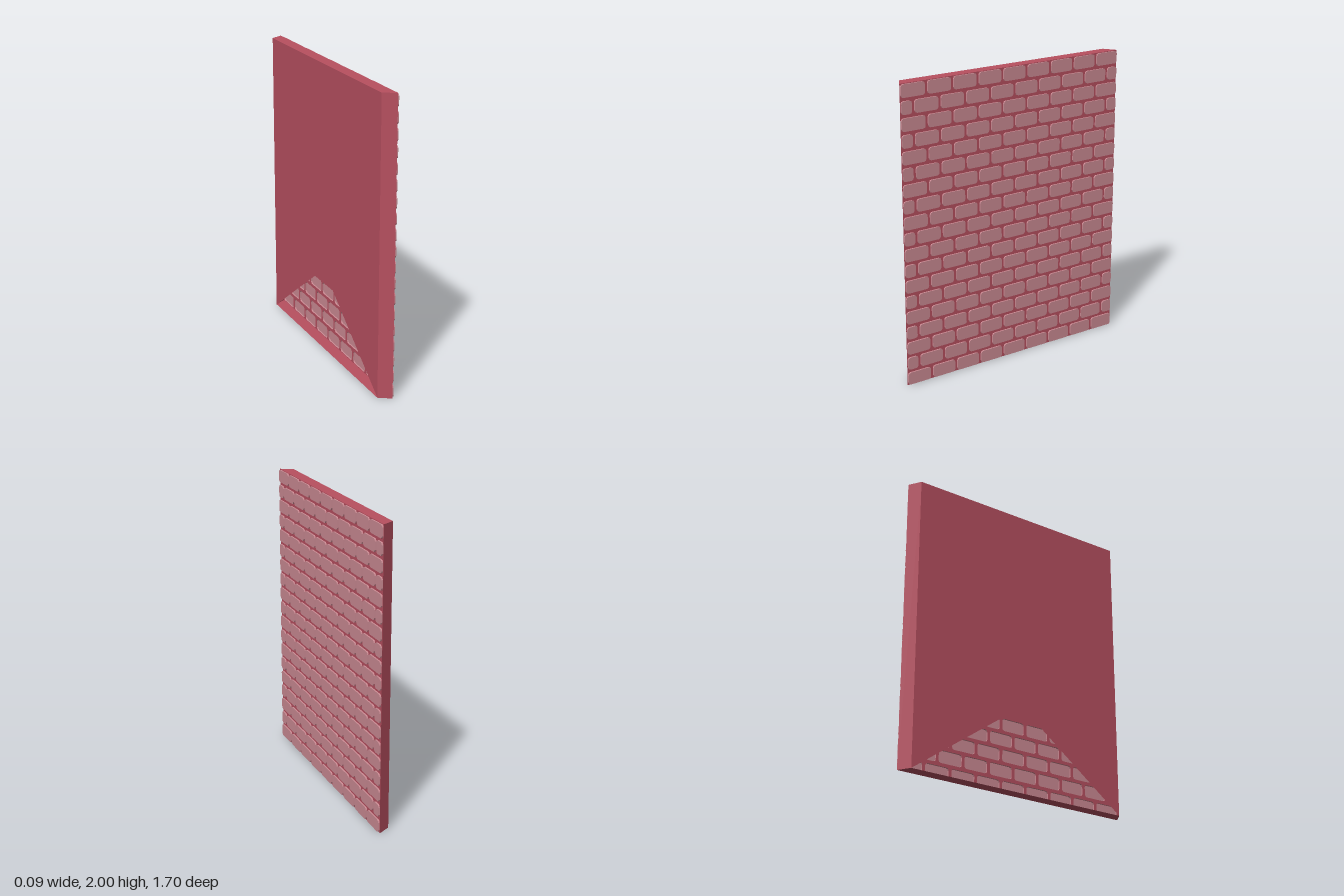
import * as THREE from 'three';
import { mergeGeometries } from 'three/addons/utils/BufferGeometryUtils.js';

const BACK = -0.046, MORTAR = 0.036, BRICK_DEPTH = 0.01;
const H = 2, HALF_BACK = 0.80, HALF_FRONT = 0.85;
const ROWS = 19, PITCH = 0.19, JOINT = 0.021, RIM = 0.004, BRICK_H = 0.084;

// Outline of one brick: a rectangle with softly cut corners
function brickPoints(u0, u1, v0, v1) {
  const r = 0.016, pts = [];
  const corners = [[u1 - r, v0 + r, -90], [u1 - r, v1 - r, 0], [u0 + r, v1 - r, 90], [u0 + r, v0 + r, 180]];
  for (const [u, v, start] of corners) {
    for (let i = 0; i <= 2; i++) {
      const a = THREE.MathUtils.degToRad(start + i * 45);
      pts.push(new THREE.Vector2(u + r * Math.cos(a), v + r * Math.sin(a)));
    }
  }
  return pts;
}

// Running bond: joints shift by half a brick on every other row
function layBricks() {
  const bricks = [], edge = HALF_FRONT - RIM;
  const rowStep = (H - 2 * RIM - BRICK_H) / (ROWS - 1);
  for (let row = 0; row < ROWS; row++) {
    const v = RIM + row * rowStep;
    const shift = row % 2 ? 0 : PITCH / 2;
    let start = -edge;
    for (let k = -4; k <= 4; k++) {
      const joint = k * PITCH + shift;
      if (joint > edge - 0.05) break;
      bricks.push(brickPoints(start, joint - JOINT / 2, v, v + BRICK_H));
      start = joint + JOINT / 2;
    }
    bricks.push(brickPoints(start, edge, v, v + BRICK_H));
  }
  return bricks;
}

// Brick as an open shell: sides and front face, no back cap
function brickShell(points) {
  const full = new THREE.ExtrudeGeometry(new THREE.Shape(points), { depth: BRICK_DEPTH, bevelEnabled: false });
  const skip = full.groups[0].count / 2;
  const geo = new THREE.BufferGeometry();
  for (const name of ['position', 'normal']) {
    geo.setAttribute(name, new THREE.BufferAttribute(full.attributes[name].array.slice(skip * 3), 3));
  }
  return geo;
}

// Flat four-cornered wall, corners counter-clockwise from outside
function quad(a, b, c, d) {
  const geo = new THREE.BufferGeometry();
  geo.setAttribute('position', new THREE.Float32BufferAttribute([a, b, c, a, c, d].flat(), 3));
  geo.computeVertexNormals();
  return geo;
}

export function createModel() {
  const group = new THREE.Group();
  group.name = 'brickWall';
  const mortar = new THREE.MeshStandardMaterial({ name: 'mortar red', color: 0xb85060, side: THREE.DoubleSide });
  const brick = new THREE.MeshStandardMaterial({ name: 'brick pink', color: 0xcc8b94, side: THREE.DoubleSide });
  const add = (name, geo, material) => {
    const mesh = new THREE.Mesh(geo, material);
    mesh.name = name;
    group.add(mesh);
  };
  const bricks = layBricks();

  // Mortar face, open behind each brick
  const face = new THREE.Shape([[-HALF_FRONT, 0], [HALF_FRONT, 0], [HALF_FRONT, H], [-HALF_FRONT, H]]
    .map(([u, v]) => new THREE.Vector2(u, v)));
  face.holes = bricks.map((pts) => new THREE.Path(pts.slice().reverse()));
  add('mortarFace', new THREE.ShapeGeometry(face).rotateY(Math.PI / 2).translate(MORTAR, 0, 0), mortar);

  // Raised bricks
  const shells = mergeGeometries(bricks.map(brickShell));
  add('bricks', shells.rotateY(Math.PI / 2).translate(MORTAR, 0, 0), brick);

  // Back panel with a trapezoid opening at its foot
  const back = new THREE.Shape([[-HALF_BACK, 0], [-0.13, 0.485], [0.15, 0.485], [HALF_BACK, 0],
    [HALF_BACK, H], [-HALF_BACK, H]].map(([u, v]) => new THREE.Vector2(u, v)));
  add('backPanel', new THREE.ShapeGeometry(back).rotateY(-Math.PI / 2).translate(BACK, 0, 0), mortar);

  // Slanted ends, top and bottom
  const b = (y, s) => [BACK, y, s * HALF_BACK];
  const f = (y, s) => [MORTAR, y, s * HALF_FRONT];
  add('frontEnd', quad(b(0, 1), f(0, 1), f(H, 1), b(H, 1)), mortar);
  add('rearEnd', quad(f(0, -1), b(0, -1), b(H, -1), f(H, -1)), mortar);
  add('topEdge', quad(b(H, 1), f(H, 1), f(H, -1), b(H, -1)), mortar);
  add('bottomEdge', quad(b(0, -1), f(0, -1), f(0, 1), b(0, 1)), mortar);
  return group;
}
